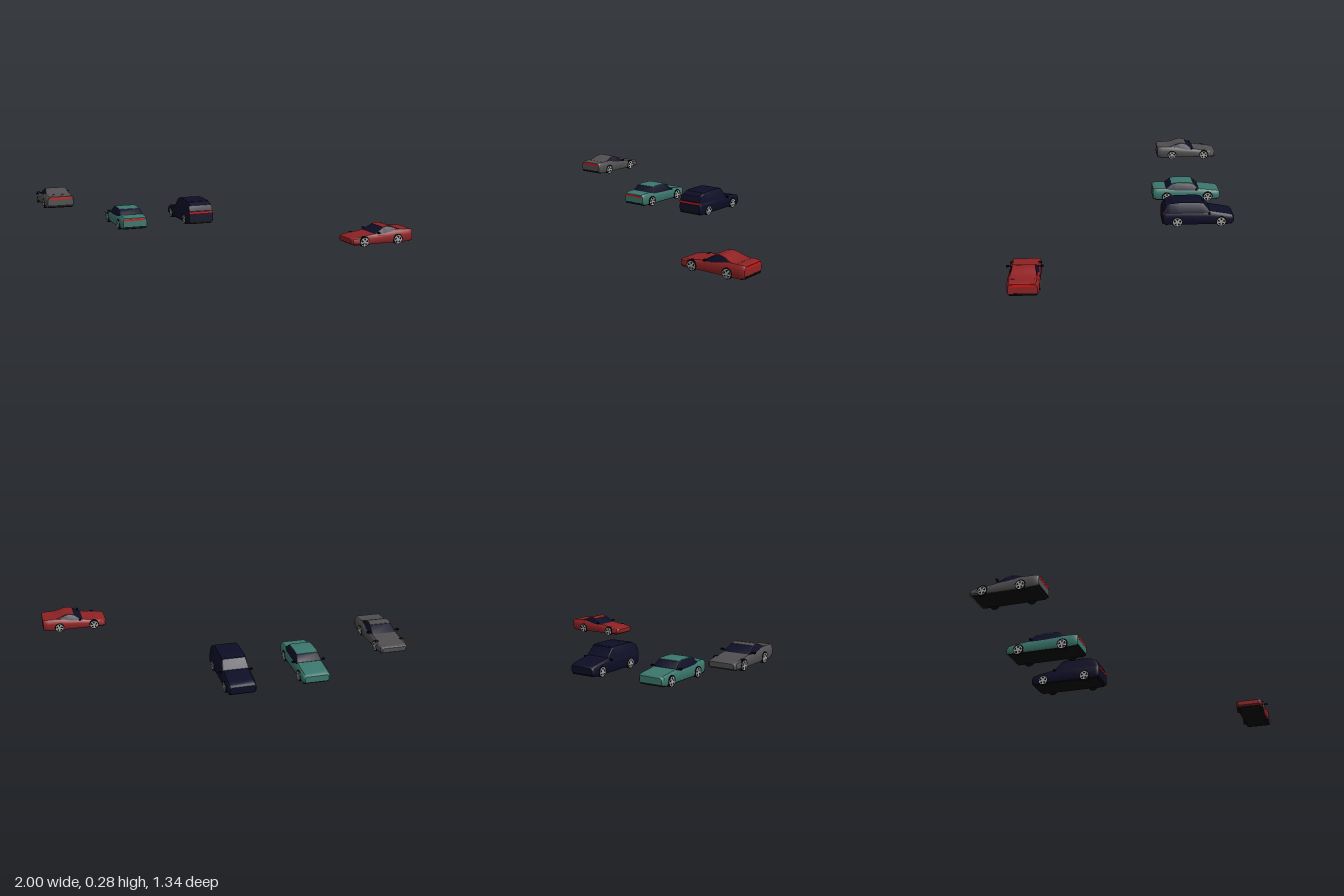
import * as THREE from 'three';
import { toCreasedNormals } from 'three/addons/utils/BufferGeometryUtils.js';

const mat = (name, color) => {
  const m = new THREE.MeshStandardMaterial({ color });
  m.name = name;
  return m;
};

// Skin over closed cross-sections, each given as { z, pts } running anticlockwise
function loft(sections) {
  const pos = [];
  const tri = (...v) => v.forEach(([s, j]) => pos.push(...s.pts[j % s.pts.length], s.z));
  const n = sections[0].pts.length;
  for (let i = 0; i < sections.length - 1; i++) {
    const a = sections[i], b = sections[i + 1];
    for (let j = 0; j < n; j++) {
      tri([a, j], [a, j + 1], [b, j + 1]);
      tri([a, j], [b, j + 1], [b, j]);
    }
  }
  const first = sections[0], last = sections[sections.length - 1];
  for (let j = 1; j < n - 1; j++) {
    tri([first, 0], [first, j + 1], [first, j]);
    tri([last, 0], [last, j], [last, j + 1]);
  }
  const g = new THREE.BufferGeometry();
  g.setAttribute('position', new THREE.Float32BufferAttribute(pos, 3));
  return toCreasedNormals(g, 0.6);
}

// Mirror the right half of a section to close it
const mirrored = (z, half) => ({ z, pts: [...half, ...half.map(([x, y]) => [-x, y]).reverse()] });

// [z, half width, bottom, top]
const bodySection = ([z, w, b, t]) => {
  const h = t - b;
  return mirrored(z, [[w * 0.92, b], [w, b + h * 0.2], [w, b + h * 0.6], [w * 0.96, b + h * 0.85], [w * 0.85, t]]);
};
// [z, base half width, base height, top half width, top height]
const cabinSection = ([z, wb, yb, wt, yt]) =>
  mirrored(z, [[wb, yb], [wt, yt - (yt - yb) * 0.12], [wt - 0.007, yt]]);
// [z, half width, height]
const roofSection = ([z, w, y]) => mirrored(z, [[w, y - 0.004], [w, y], [w - 0.008, y + 0.002]]);

const COUPE = {
  front: -0.2025, rear: 0.2025, axles: [-0.122, 0.101], radius: 0.029,
  mirror: [-0.033, 0.077], strip: [0.066, 0.071, 0.012],
  body: [[-0.2025, 0.07, 0.02, 0.046], [-0.193, 0.081, 0.014, 0.052], [-0.17, 0.085, 0.012, 0.055],
    [-0.122, 0.086, 0.012, 0.06], [-0.05, 0.085, 0.012, 0.07], [0.03, 0.085, 0.012, 0.077],
    [0.11, 0.086, 0.012, 0.086], [0.17, 0.085, 0.014, 0.085], [0.194, 0.082, 0.018, 0.084], [0.2025, 0.077, 0.02, 0.08]],
  cabin: [[-0.052, 0.078, 0.06, 0.075, 0.069], [0.005, 0.08, 0.065, 0.066, 0.104], [0.035, 0.08, 0.065, 0.064, 0.111],
    [0.078, 0.08, 0.065, 0.066, 0.102], [0.105, 0.079, 0.065, 0.07, 0.088]],
  roof: [[0.005, 0.064, 0.104], [0.035, 0.062, 0.111], [0.055, 0.062, 0.109], [0.078, 0.064, 0.102],
    [0.095, 0.068, 0.094], [0.118, 0.071, 0.087], [0.15, 0.071, 0.084]],
};

const SEDAN = {
  front: -0.22, rear: 0.22, axles: [-0.14, 0.13], radius: 0.031,
  mirror: [-0.064, 0.085], strip: [0.067, 0.071, 0.011],
  body: [[-0.22, 0.071, 0.022, 0.06], [-0.208, 0.081, 0.017, 0.069], [-0.18, 0.084, 0.015, 0.073],
    [-0.08, 0.084, 0.015, 0.084], [0.14, 0.084, 0.015, 0.09], [0.19, 0.083, 0.016, 0.089],
    [0.21, 0.081, 0.02, 0.087], [0.22, 0.076, 0.022, 0.082]],
  cabin: [[-0.08, 0.08, 0.07, 0.075, 0.085], [-0.042, 0.081, 0.075, 0.068, 0.12], [-0.01, 0.081, 0.075, 0.067, 0.125],
    [0.07, 0.081, 0.075, 0.067, 0.125], [0.1, 0.081, 0.075, 0.068, 0.12], [0.137, 0.079, 0.075, 0.074, 0.089]],
  roof: [[-0.043, 0.065, 0.12], [-0.01, 0.065, 0.125], [0.07, 0.065, 0.125], [0.1, 0.065, 0.12]],
};

const WAGON = {
  front: -0.22, rear: 0.22, axles: [-0.14, 0.13], radius: 0.031,
  mirror: [-0.065, 0.087], strip: [0.08, 0.086, 0.01],
  body: [[-0.22, 0.072, 0.022, 0.062], [-0.208, 0.082, 0.017, 0.072], [-0.18, 0.085, 0.015, 0.078],
    [-0.07, 0.086, 0.015, 0.097], [0.0, 0.086, 0.015, 0.1], [0.2, 0.086, 0.016, 0.1],
    [0.213, 0.084, 0.02, 0.098], [0.22, 0.08, 0.022, 0.093]],
  cabin: [[-0.07, 0.082, 0.08, 0.077, 0.097], [-0.028, 0.083, 0.085, 0.073, 0.147], [0.0, 0.083, 0.085, 0.072, 0.153],
    [0.12, 0.083, 0.085, 0.072, 0.153], [0.168, 0.083, 0.085, 0.073, 0.148], [0.203, 0.083, 0.085, 0.077, 0.13],
    [0.217, 0.081, 0.085, 0.078, 0.098]],
  roof: [[-0.022, 0.07, 0.148], [0.0, 0.07, 0.153], [0.12, 0.07, 0.153], [0.166, 0.07, 0.148]],
};

// Five-spoke rim of unit radius, facing +z
function rimGeometry() {
  const s = new THREE.Shape().absarc(0, 0, 1, 0, Math.PI * 2);
  for (let i = 0; i < 5; i++) {
    const a = (i / 5) * Math.PI * 2 + 0.3, hole = new THREE.Path();
    hole.moveTo(0.28 * Math.cos(a), 0.28 * Math.sin(a));
    for (const d of [-0.4, 0, 0.4]) hole.lineTo(0.84 * Math.cos(a + d), 0.84 * Math.sin(a + d));
    hole.closePath();
    s.holes.push(hole);
  }
  return new THREE.ExtrudeGeometry(s, { depth: 0.06, bevelEnabled: false, curveSegments: 16 });
}

export function createModel() {
  const red = mat('redPaint', 0x8f2224), grey = mat('greyPaint', 0x504e50), teal = mat('tealPaint', 0x3b776d);
  const navy = mat('navyGlassAndPaint', 0x0d0d26), black = mat('blackTrim', 0x050507);
  const silver = mat('silverRim', 0xa6a6a6), lamp = mat('redLamp', 0xd81212);
  const rim = rimGeometry();

  function buildCar(name, spec, paint) {
    const car = new THREE.Group();
    car.name = name;
    const add = (part, geo, m, x = 0, y = 0, z = 0) => {
      const mesh = new THREE.Mesh(geo, m);
      mesh.name = part;
      mesh.position.set(x, y, z);
      car.add(mesh);
      return mesh;
    };
    const box = (part, w, h, d, m, x, y, z) => add(part, new THREE.BoxGeometry(w, h, d), m, x, y, z);

    add('body', loft(spec.body.map(bodySection)), paint);
    add('windows', loft(spec.cabin.map(cabinSection)), navy);
    add('roof', loft(spec.roof.map(roofSection)), paint);

    // Underside, rear bumper and lamp strip
    const length = spec.rear - spec.front;
    box('underbody', 0.15, 0.008, length - 0.03, black, 0, 0.015, 0);
    box('rearBumper', 0.142, 0.012, 0.012, black, 0, 0.022, spec.rear - 0.0052);
    const [half, stripY, stripH] = spec.strip;
    box('rearLampStrip', half * 2, stripH, 0.009, lamp, 0, stripY, spec.rear - 0.003);

    for (const side of [-1, 1]) {
      // Door mirrors
      const [mz, my] = spec.mirror;
      box('mirrorArm', 0.02, 0.004, 0.006, black, side * 0.08, my - 0.002, mz);
      box('mirror', 0.017, 0.01, 0.011, black, side * 0.0915, my, mz);
      // Wheels
      for (const z of spec.axles) {
        const r = spec.radius;
        const disc = (part, radius, width, x) => {
          const geo = new THREE.CylinderGeometry(radius, radius, width, 28).rotateZ(Math.PI / 2);
          add(part, geo, black, side * x, r, z);
        };
        disc('tyre', r, 0.022, 0.0755);
        const arch = new THREE.CylinderGeometry(r * 1.12, r * 1.12, 0.021, 24, 1, false, 0, Math.PI);
        add('wheelArch', arch.rotateZ(Math.PI / 2), black, side * 0.0757, r, z);
        const hub = add('rim', rim, silver, side * 0.0862, r, z);
        hub.scale.setScalar(r * 0.86);
        hub.rotation.y = (side * Math.PI) / 2;
      }
    }
    return car;
  }

  const model = new THREE.Group();
  model.name = 'parkedCars';
  const place = (car, x, y, z, turn = 0) => {
    car.position.set(x, y, z);
    car.rotation.y = turn;
    model.add(car);
  };
  place(buildCar('greyCoupe', COUPE, grey), -0.9, 0.168, -0.4695);
  place(buildCar('tealSedan', SEDAN, teal), -0.452, 0.015, -0.425);
  place(buildCar('navyWagon', WAGON, navy), -0.006, 0.014, -0.45);
  place(buildCar('redCoupe', COUPE, red), 0.797, 0, 0.571, Math.PI / 2);
  return model;
}
